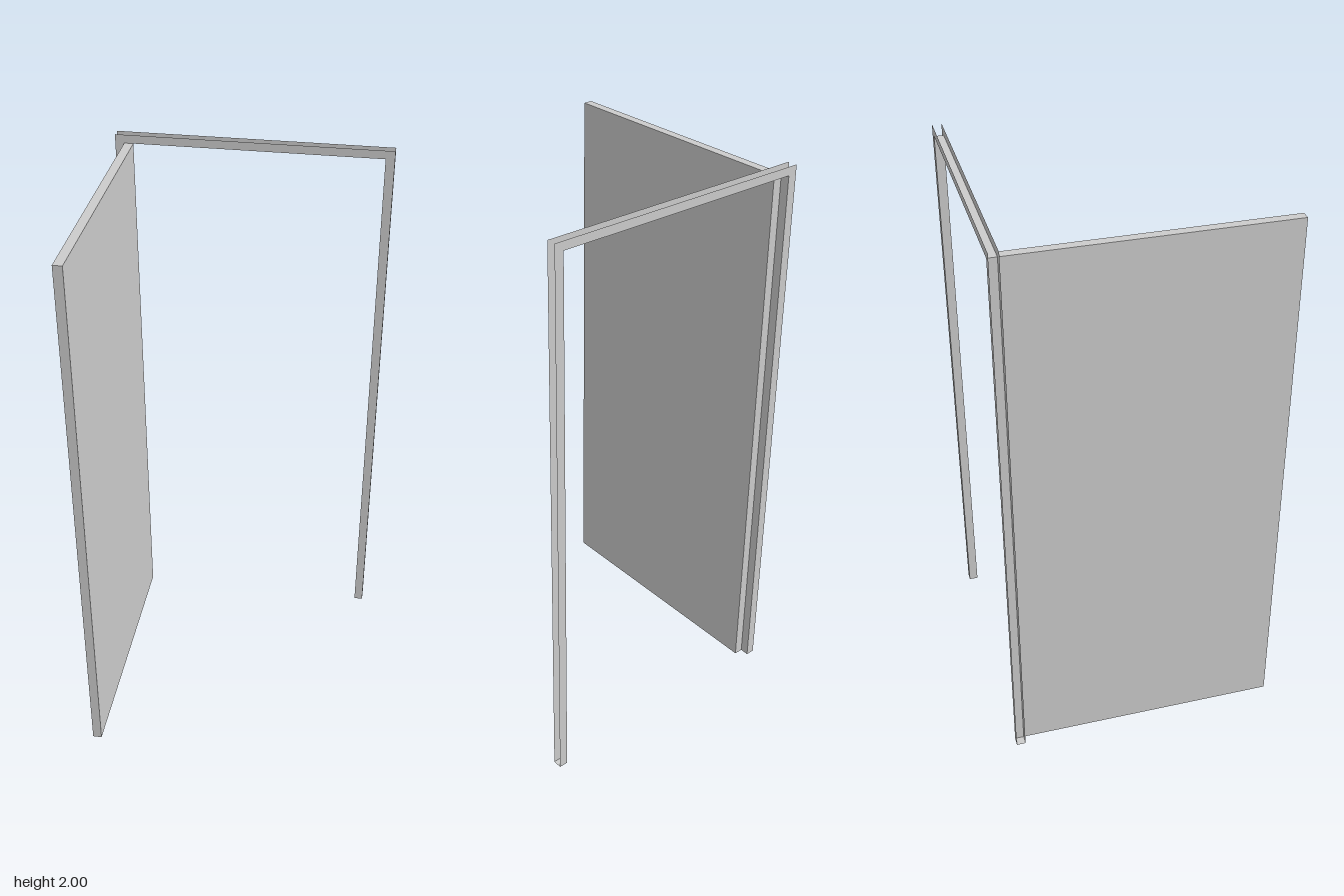
import * as THREE from 'three';

const grey = new THREE.MeshStandardMaterial({ color: 0xcccccc, flatShading: true });
const thin = new THREE.MeshStandardMaterial({ color: 0xcccccc, flatShading: true, side: THREE.DoubleSide });

const W = 0.485;        // outer half width of the frame
const I = 0.453;        // inner half width of the opening
const H = 2;            // frame height
const O = 1.97;         // opening height
const BACK = -0.485, FRONT = -0.453;
const DEPTH = FRONT - BACK, MID = (FRONT + BACK) / 2;

function add(group, name, geometry, material, x, y, z) {
  const mesh = new THREE.Mesh(geometry, material);
  mesh.name = name;
  mesh.position.set(x, y, z);
  group.add(mesh);
  return mesh;
}

export function createModel() {
  const model = new THREE.Group();
  model.name = 'openDoor';

  // Door frame: facings and lining, open on the side set into the wall
  const frame = new THREE.Group();
  frame.name = 'doorFrame';
  model.add(frame);
  const arch = new THREE.Shape([
    [-W, 0], [-I, 0], [-I, O], [I, O], [I, 0], [W, 0], [W, H], [-W, H],
  ].map(([x, y]) => new THREE.Vector2(x, y)));
  add(frame, 'frontFacing', new THREE.ShapeGeometry(arch), thin, 0, 0, FRONT);
  add(frame, 'backFacing', new THREE.ShapeGeometry(arch), thin, 0, 0, BACK).rotation.y = Math.PI;

  // Inner lining and feet of the two jambs
  for (const [side, s] of [['left', 1], ['right', -1]]) {
    const lining = add(frame, side + 'JambLining', new THREE.PlaneGeometry(DEPTH, O), thin, s * I, O / 2, MID);
    lining.rotation.y = -s * Math.PI / 2;
    const foot = add(frame, side + 'JambFoot', new THREE.PlaneGeometry(W - I, DEPTH), thin, s * (W + I) / 2, 0, MID);
    foot.rotation.x = Math.PI / 2;
  }
  const head = add(frame, 'headLining', new THREE.PlaneGeometry(2 * I, DEPTH), thin, 0, O, MID);
  head.rotation.x = Math.PI / 2;

  // Door leaf, swung open to a right angle
  const length = 0.485 - FRONT;
  add(model, 'doorLeaf', new THREE.BoxGeometry(0.032, O, length), grey, -0.437, O / 2, FRONT + length / 2);

  return model;
}
